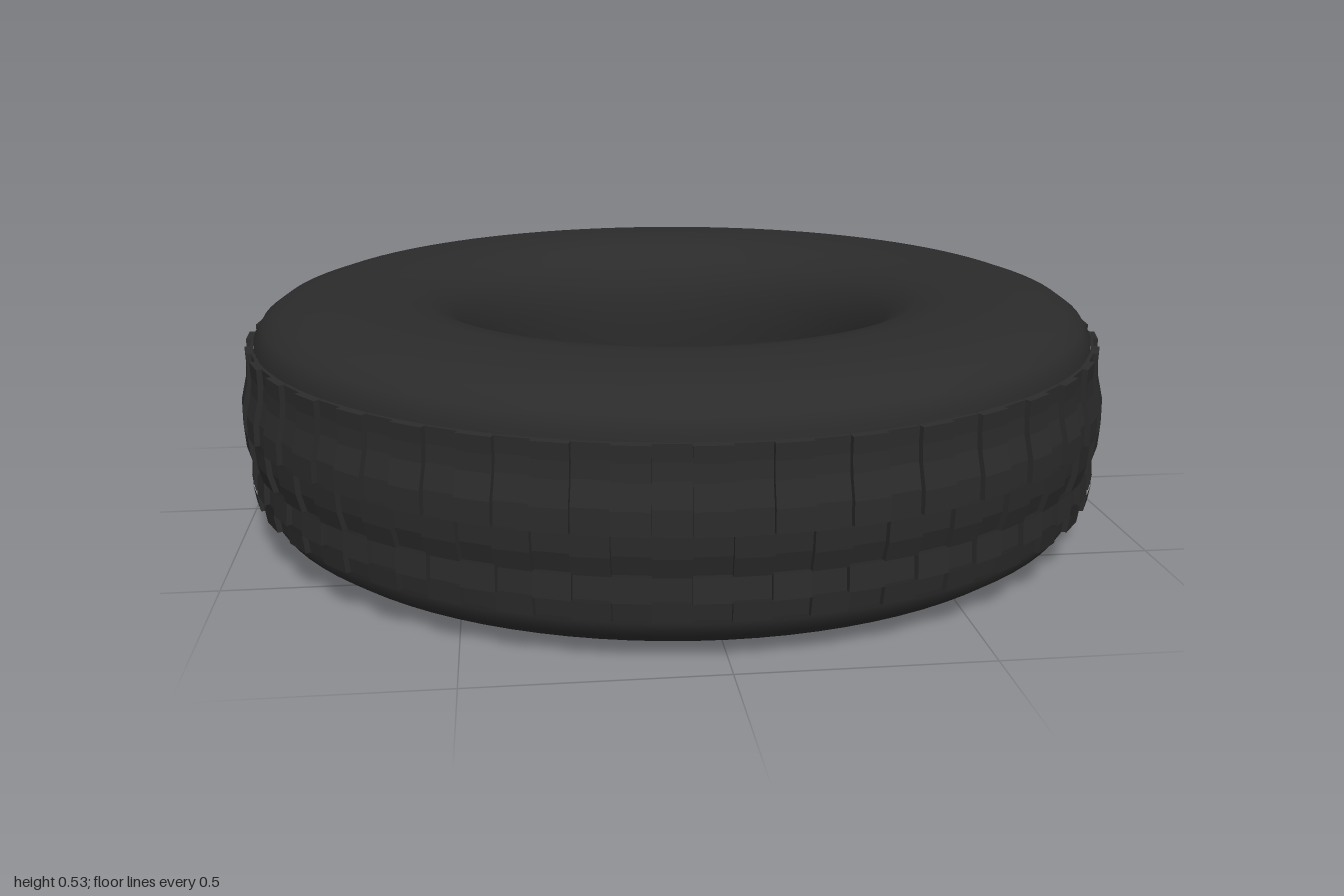
import * as THREE from 'three';

const MID = 0.265; // half the height of the tyre

export function createModel() {
  const model = new THREE.Group();
  model.name = 'tyre';
  const rubber = new THREE.MeshStandardMaterial({ color: 0x2b2b2b });
  rubber.name = 'black rubber';

  // Carcass: sidewalls and bore, a closed smooth ring
  const half = [
    [0.465, 0], [0.466, 0.06], [0.472, 0.12], [0.49, 0.175], [0.525, 0.22], [0.58, 0.25],
    [0.65, 0.263], [0.72, 0.265], [0.80, 0.263], [0.86, 0.255], [0.91, 0.238], [0.945, 0.213],
    [0.965, 0.18], [0.968, 0.12],
  ];
  const point = ([r, h], sign) => new THREE.Vector2(r, MID + sign * h);
  const upper = half.map((p) => point(p, 1));
  const lower = half.slice(1).map((p) => point(p, -1));
  // Runs counter-clockwise in section so that the faces look outwards
  const section = [...lower.reverse().map((p) => p), upper[0], ...upper.slice(1)].reverse();
  section.reverse();
  section.push(section[0].clone());
  section.reverse();
  const carcass = new THREE.Mesh(new THREE.LatheGeometry(section, 96), rubber);
  carcass.name = 'carcass';
  model.add(carcass);

  // Tread rows: height, radius pairs from bottom to top; neighbouring rows are staggered
  const rows = [
    [[0.095, 0.955], [0.096, 0.972], [0.135, 0.978]],
    [[0.135, 0.977], [0.185, 0.974]],
    [[0.185, 0.974], [0.225, 0.985], [0.268, 0.988]],
    [[0.268, 0.988], [0.315, 0.987], [0.365, 0.975], [0.40, 0.972], [0.434, 0.973], [0.435, 0.955]],
  ];
  const columns = 84;
  const tread = new THREE.Group();
  tread.name = 'tread';
  rows.forEach((row, i) => {
    const profile = row.map(([y, r]) => new THREE.Vector2(r, y));
    const geometry = new THREE.LatheGeometry(profile, columns * 2);
    const pos = geometry.attributes.position;
    // Pair up the lathe's columns so that each block has a flat face and a radial step
    for (let v = 0; v < pos.count; v++) {
      const j = Math.floor(v / row.length);
      const [y, r] = row[v % row.length];
      const angle = (Math.floor(j / 2) / columns) * Math.PI * 2;
      const column = (Math.floor((j - 1) / 2) + columns) % columns;
      const raised = (column + i) % 2 === 0 ? 0.012 : 0;
      pos.setXYZ(v, Math.sin(angle) * (r + raised), y, Math.cos(angle) * (r + raised));
    }
    const flat = geometry.toNonIndexed();
    flat.computeVertexNormals();
    const mesh = new THREE.Mesh(flat, rubber);
    mesh.name = `treadRow${i + 1}`;
    tread.add(mesh);
  });
  model.add(tread);
  return model;
}
